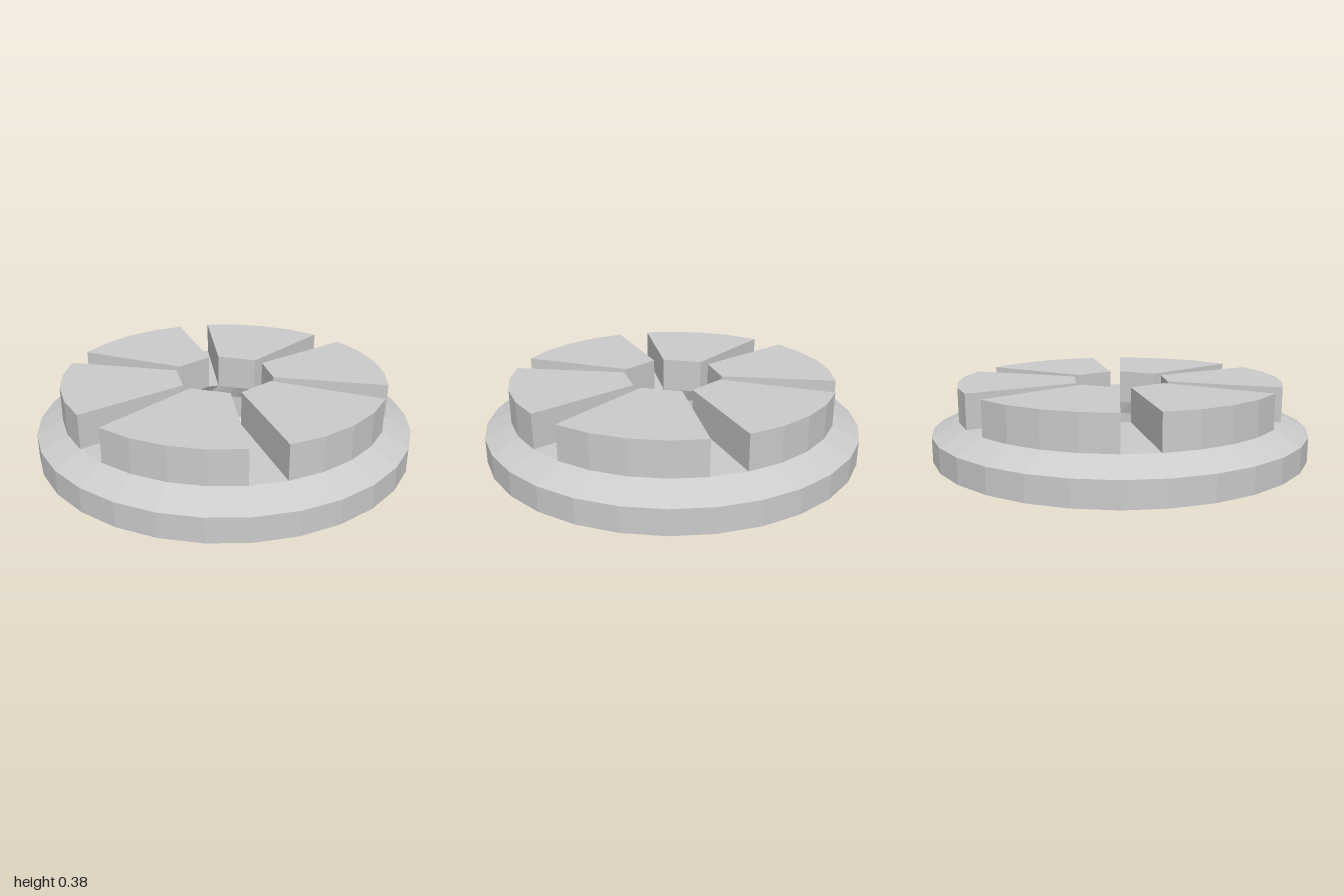
import * as THREE from 'three';

const STEPS = 30;
const material = new THREE.MeshStandardMaterial({ color: 0xcccccc, flatShading: true });

// point on a circle, angle measured in 12 degree steps from the front toward +x
function polar(r, y, step) {
  const a = (step / STEPS) * Math.PI * 2;
  return new THREE.Vector3(r * Math.sin(a), y, r * Math.cos(a));
}

// 30 points along a polygon whose corners repeat every five steps
function ring(r, y, corners) {
  const points = [];
  for (let i = 0; i < STEPS; i++) {
    const start = i - (i % 5), k = i % 5;
    const lo = Math.max(...corners.filter((c) => c <= k));
    const hi = Math.min(...corners.filter((c) => c > k));
    points.push(polar(r, y, start + lo).lerp(polar(r, y, start + hi), (k - lo) / (hi - lo)));
  }
  return points;
}

// closed loft through a loop of rings
function loft(rings) {
  const pos = [];
  const n = rings.length;
  for (let j = 0; j < n; j++) {
    for (let i = 0; i < STEPS; i++) {
      const i2 = (i + 1) % STEPS, up = rings[(j + 1) % n];
      const [a, b, c, d] = [rings[j][i], rings[j][i2], up[i2], up[i]];
      for (const p of [a, b, c, a, c, d]) pos.push(p.x, p.y, p.z);
    }
  }
  const g = new THREE.BufferGeometry();
  g.setAttribute('position', new THREE.Float32BufferAttribute(pos, 3));
  g.computeVertexNormals();
  return g;
}

export function createModel() {
  const model = new THREE.Group();
  model.name = 'slottedDisc';

  // chamfered disc: round outside, six-sided bore narrowing to a clipped hexagon
  const round = [0, 1, 2, 3, 4, 5], hex = [0, 5], clipped = [0, 4, 5];
  const base = new THREE.Mesh(loft([
    ring(0.31, 0, hex),
    ring(1, 0, round),
    ring(1, 0.13, round),
    ring(0.862, 0.2, round),
    ring(0.265, 0.2, clipped),
    ring(0.31, 0.13, hex),
  ]), material);
  base.name = 'baseDisc';
  model.add(base);

  // raised sector: four-step arc outside, straight chord inside
  const outline = [polar(0.265, 0, 4), polar(0.265, 0, 0)];
  for (let i = 0; i <= 4; i++) outline.push(polar(0.862, 0, i));
  const shape = new THREE.Shape(outline.map((p) => new THREE.Vector2(p.x, -p.z)));
  const sector = new THREE.ExtrudeGeometry(shape, { depth: 0.18, bevelEnabled: false });
  sector.rotateX(-Math.PI / 2).translate(0, 0.2, 0);

  // six sectors separated by radial slots
  for (let i = 0; i < 6; i++) {
    const mesh = new THREE.Mesh(sector, material);
    mesh.name = `raisedSector${i + 1}`;
    mesh.rotation.y = (i * Math.PI) / 3;
    model.add(mesh);
  }
  return model;
}
